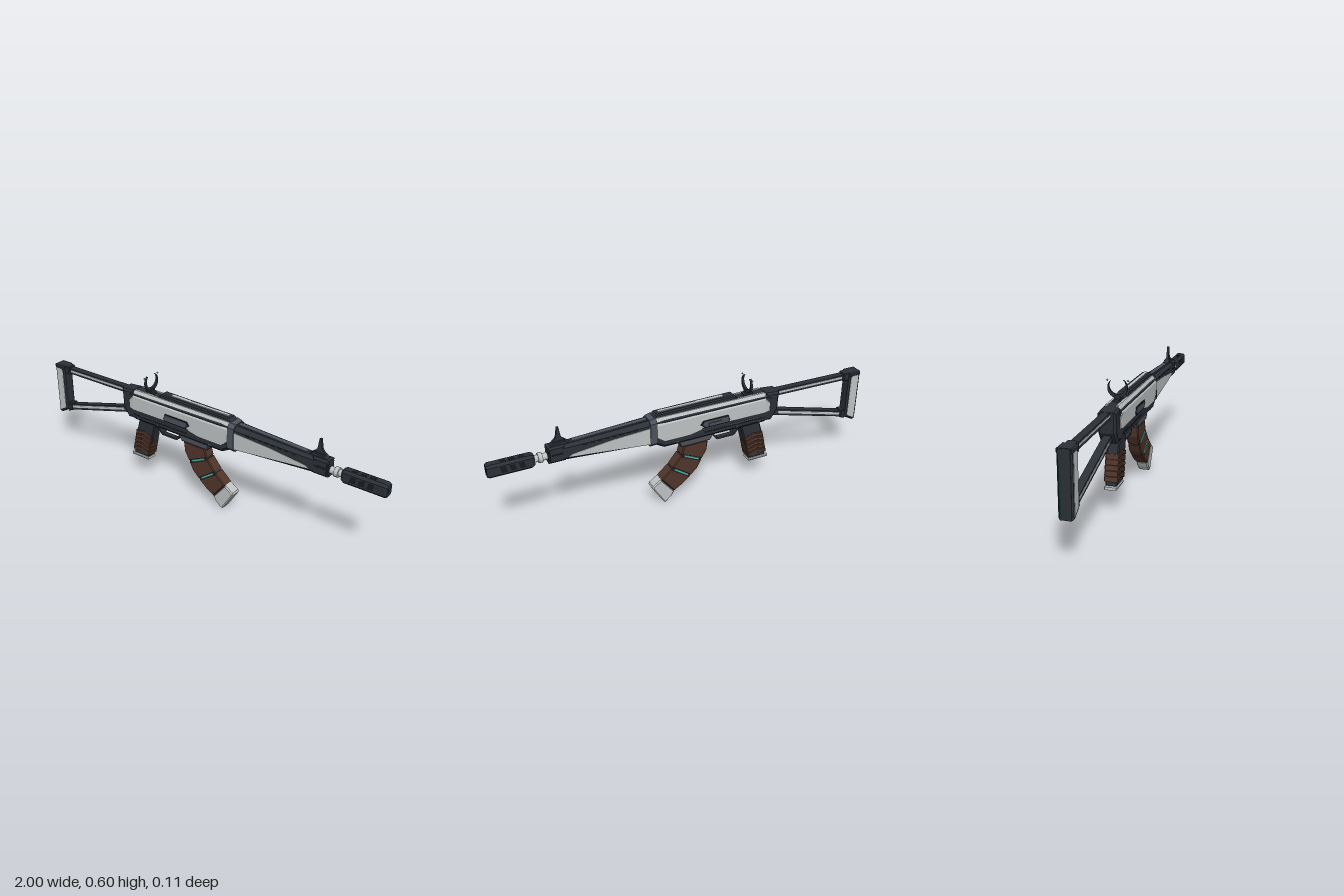
import * as THREE from 'three';

const flat = (name, color) => {
  const m = new THREE.MeshStandardMaterial({ color });
  m.name = name;
  return m;
};

export function createModel() {
  const root = new THREE.Group();
  root.name = 'rifleProp';
  const dark = flat('dark metal', 0x2c3037);
  const black = flat('black recess', 0x191b1f);
  const slate = flat('slate metal', 0x4b505b);
  const light = flat('pale alloy', 0xbfc3c4);
  const brown = flat('brown wrap', 0x50352a);
  const cyan = flat('cyan glow', 0x4cc8c0);
  const teal = flat('deep teal', 0x123230);

  const add = (name, geo, mat) => {
    const m = new THREE.Mesh(geo, mat);
    m.name = name;
    root.add(m);
    return m;
  };
  // Side outline extruded symmetrically to half width hw; taper scales z along x
  const slab = (name, pts, hw, mat, bevel = 0, taper = null) => {
    const shape = new THREE.Shape(pts.map(p => new THREE.Vector2(p[0], p[1])));
    const depth = 2 * (hw - bevel);
    const geo = new THREE.ExtrudeGeometry(shape, {
      depth, bevelEnabled: bevel > 0, bevelSize: bevel, bevelThickness: bevel, bevelOffset: -bevel, bevelSegments: 1,
    });
    geo.translate(0, 0, -depth / 2);
    if (taper) {
      const p = geo.attributes.position;
      for (let i = 0; i < p.count; i++) p.setZ(i, p.getZ(i) * taper(p.getX(i)));
      geo.computeVertexNormals();
    }
    return add(name, geo, mat);
  };
  const rect = (x0, x1, y0, y1) => [[x0, y0], [x1, y0], [x1, y1], [x0, y1]];
  // Chamfered cross-section, counter-clockwise as [y, z]
  const oct = (y0, y1, hw, c) => [[y1, -hw + c], [y1, hw - c], [y1 - c, hw], [y0 + c, hw],
    [y0, hw - c], [y0, -hw + c], [y0 + c, -hw], [y1 - c, -hw]].reverse();
  const ccw = ring => {
    let a = 0;
    ring.forEach((p, i) => { const q = ring[(i + 1) % ring.length]; a += p[0] * q[1] - q[0] * p[1]; });
    return a < 0 ? [...ring].reverse() : ring;
  };
  // Faceted skin through cross-sections [x, ring], ordered by rising x
  const loft = (name, sections, mat) => {
    const rings = sections.map(([x, r]) => ccw(r).map(([y, z]) => [x, y, z]));
    const n = rings[0].length, out = [];
    for (let s = 0; s + 1 < rings.length; s++) {
      const a = rings[s], b = rings[s + 1];
      for (let i = 0; i < n; i++) {
        const j = (i + 1) % n;
        out.push(...a[i], ...a[j], ...b[j], ...a[i], ...b[j], ...b[i]);
      }
    }
    const first = rings[0], last = rings[rings.length - 1];
    for (let i = 1; i + 1 < n; i++) {
      out.push(...last[0], ...last[i], ...last[i + 1], ...first[0], ...first[i + 1], ...first[i]);
    }
    const geo = new THREE.BufferGeometry();
    geo.setAttribute('position', new THREE.Float32BufferAttribute(out, 3));
    geo.computeVertexNormals();
    return add(name, geo, mat);
  };
  const bar = (name, x0, y0, x1, y1, h, w, mat) => {
    const m = add(name, new THREE.BoxGeometry(Math.hypot(x1 - x0, y1 - y0), h, w), mat);
    m.position.set((x0 + x1) / 2, (y0 + y1) / 2, 0);
    m.rotation.z = Math.atan2(y1 - y0, x1 - x0);
    return m;
  };

  // Stock: butt frame, pale panels and two struts
  slab('buttFrame', [[-1, 0.2], [-0.985, 0.197], [-0.932, 0.225], [-0.932, 0.475], [-0.945, 0.487], [-1, 0.488]], 0.032, dark, 0.008);
  slab('buttPanel', [[-0.988, 0.213], [-0.942, 0.238], [-0.942, 0.462], [-0.954, 0.474], [-0.988, 0.474]], 0.034, light);
  slab('buttTopCap', rect(-0.998, -0.93, 0.468, 0.49), 0.036, dark, 0.006);
  slab('buttPad', rect(-1, -0.994, 0.215, 0.475), 0.025, teal);
  bar('upperStrut', -0.94, 0.466, -0.46, 0.472, 0.03, 0.036, dark);
  bar('upperStrutStrip', -0.89, 0.469, -0.49, 0.474, 0.011, 0.04, light);
  bar('lowerStrut', -0.94, 0.237, -0.46, 0.367, 0.032, 0.036, dark);
  bar('lowerStrutStrip', -0.9, 0.25, -0.5, 0.358, 0.013, 0.04, light);
  slab('upperStrutCollar', rect(-0.935, -0.9, 0.446, 0.49), 0.025, dark, 0.005);
  slab('lowerStrutCollar', [[-0.935, 0.215], [-0.905, 0.226], [-0.905, 0.27], [-0.935, 0.265]], 0.025, dark, 0.005);

  // Receiver
  slab('rearBlock', [[-0.49, 0.488], [-0.415, 0.495], [-0.4, 0.34], [-0.45, 0.335], [-0.475, 0.375], [-0.485, 0.39]], 0.042, dark, 0.01);
  loft('receiverBody', [[-0.45, oct(0.34, 0.48, 0.042, 0.018)], [-0.41, oct(0.33, 0.495, 0.046, 0.018)],
    [0.15, oct(0.33, 0.497, 0.046, 0.018)], [0.205, oct(0.36, 0.497, 0.044, 0.018)]], dark);
  for (const s of [1, -1]) {
    const ring = (y0, y1, k) => [[y0, 0.02], [y1, 0.02], [y1, 0.031 * k], [y1 - 0.033, 0.05 * k], [y0, 0.05 * k]].map(([y, z]) => [y, z * s]);
    loft('receiverCover', [[-0.43, ring(0.4, 0.475, 0.95)], [-0.405, ring(0.395, 0.499, 1)], [0.198, ring(0.4, 0.5, 1)]], light);
  }
  slab('coverLowerPanel', [[-0.06, 0.41], [-0.04, 0.388], [0.02, 0.376], [0.155, 0.376], [0.195, 0.405]], 0.05, light);
  slab('sidePort', [[-0.2, 0.405], [-0.19, 0.395], [-0.06, 0.395], [-0.035, 0.415], [-0.05, 0.435], [-0.19, 0.435]], 0.053, black);
  slab('sidePortPlate', [[-0.193, 0.408], [-0.187, 0.4], [-0.064, 0.4], [-0.045, 0.416], [-0.055, 0.43], [-0.187, 0.43]], 0.055, slate);
  slab('lowerGroove', rect(-0.41, -0.06, 0.362, 0.369), 0.047, black);
  slab('lowerStrip', rect(-0.37, -0.2, 0.372, 0.378), 0.048, slate);
  for (const x of [-0.38, -0.25, 0.08]) slab('receiverPin', rect(x, x + 0.014, 0.346, 0.358), 0.048, slate);
  slab('topRail', [[-0.26, 0.495], [-0.235, 0.52], [0.185, 0.517], [0.205, 0.495]], 0.026, dark, 0.006);
  slab('topRailStrip', rect(-0.18, 0.17, 0.51, 0.522), 0.009, light);
  const handle = add('chargingHandle', new THREE.BoxGeometry(0.07, 0.018, 0.014), slate);
  handle.position.set(-0.115, 0.41, -0.053);
  loft('collar', [[0.193, oct(0.358, 0.503, 0.052, 0.018)], [0.226, oct(0.352, 0.497, 0.046, 0.018)]], slate);

  // Handguard, tapering toward the muzzle
  loft('handguard', [[0.22, oct(0.36, 0.492, 0.042, 0.02)], [0.62, oct(0.391, 0.474, 0.032, 0.014)],
    [0.72, oct(0.396, 0.471, 0.027, 0.012)]], dark);
  const taper = x => 1 - 0.62 * (x - 0.22);
  slab('handguardPanel', [[0.228, 0.373], [0.5, 0.397], [0.63, 0.411], [0.61, 0.422], [0.42, 0.447], [0.228, 0.461]], 0.045, light, 0, taper);
  bar('handguardTopStrip', 0.23, 0.4925, 0.6, 0.4755, 0.006, 0.026, slate);
  for (let i = 0; i < 8; i++) {
    const x = 0.29 + i * 0.035, y = 0.468 - i * 0.0016;
    slab('ventSlot', rect(x, x + 0.02, y - 0.004, y + 0.002), 0.0435, black, 0, taper);
  }
  slab('frontBand', rect(0.64, 0.722, 0.392, 0.476), 0.03, dark, 0.009);
  slab('frontBandSlot', rect(0.652, 0.705, 0.43, 0.44), 0.031, black);

  // Front sight
  slab('frontSightBase', [[0.61, 0.472], [0.635, 0.492], [0.69, 0.49], [0.71, 0.472]], 0.016, dark, 0.004);
  slab('frontSightPost', [[0.63, 0.485], [0.65, 0.51], [0.657, 0.56], [0.665, 0.56], [0.675, 0.51], [0.698, 0.485]], 0.006, dark);

  // Barrel and muzzle device
  const tube = (name, x0, x1, r, mat) => {
    const m = add(name, new THREE.CylinderGeometry(r, r, x1 - x0, 12), mat);
    m.rotation.z = -Math.PI / 2;
    m.position.set((x0 + x1) / 2, 0.424, 0);
  };
  tube('barrel', 0.71, 0.8, 0.017, light);
  tube('barrelRing', 0.745, 0.765, 0.024, light);
  loft('muzzle', [[0.783, oct(0.398, 0.45, 0.021, 0.009)], [0.795, oct(0.391, 0.457, 0.027, 0.011)],
    [0.99, oct(0.391, 0.457, 0.027, 0.011)], [1, oct(0.396, 0.452, 0.022, 0.009)]], dark);
  for (let i = 0; i < 3; i++) {
    const x = 0.825 + i * 0.042;
    slab('muzzleSlot', [[x, 0.411], [x + 0.026, 0.411], [x + 0.032, 0.438], [x + 0.006, 0.438]], 0.028, black);
    slab('muzzleTopSlot', rect(x, x + 0.028, 0.45, 0.458), 0.01, black);
  }
  tube('bore', 0.99, 1.001, 0.012, teal);

  // Rear crescent sight with glowing tips
  slab('sightBase', rect(-0.345, -0.295, 0.49, 0.506), 0.018, dark, 0.003);
  slab('sightStem', rect(-0.33, -0.308, 0.5, 0.518), 0.014, dark);
  const crescent = new THREE.Shape();
  crescent.absarc(0, 0.556, 0.047, 0.93, Math.PI - 0.93, true);
  crescent.absarc(0, 0.566, 0.0397, Math.PI - 0.78, 0.78, false);
  const ringGeo = new THREE.ExtrudeGeometry(crescent, { depth: 0.012, bevelEnabled: false, curveSegments: 20 });
  ringGeo.translate(0, 0, -0.006).rotateY(Math.PI / 2);
  add('crescentSight', ringGeo, dark).position.x = -0.319;
  for (const s of [1, -1]) {
    const gem = add('sightGem', new THREE.OctahedronGeometry(0.006), cyan);
    gem.position.set(-0.319, 0.59, s * 0.049);
  }

  // Grip with slanted wrap bands
  slab('gripCore', [[-0.385, 0.34], [-0.275, 0.34], [-0.285, 0.3], [-0.335, 0.125], [-0.43, 0.125], [-0.405, 0.27]], 0.029, dark, 0.006);
  for (let i = 0; i < 5; i++) {
    const y = 0.145 + i * 0.0255, x = -0.434 + i * 0.0057;
    slab('gripWrap', [[x, y], [x + 0.052, y + 0.008], [x + 0.106, y - 0.01], [x + 0.112, y + 0.013], [x + 0.057, y + 0.031], [x + 0.005, y + 0.023]], 0.034, brown, 0.004);
  }
  slab('gripBase', rect(-0.446, -0.333, 0.11, 0.124), 0.031, light, 0.004);

  // Trigger and guard
  const guard = [[-0.285, 0.335], [-0.245, 0.288], [-0.15, 0.288], [-0.125, 0.318], [-0.1, 0.33]];
  for (let i = 0; i + 1 < guard.length; i++) bar('triggerGuard', ...guard[i], ...guard[i + 1], 0.009, 0.026, dark);
  slab('trigger', [[-0.25, 0.335], [-0.23, 0.335], [-0.232, 0.3], [-0.242, 0.298]], 0.006, slate);

  // Curved magazine: three brown segments between outline points, dark joints, cyan stripes
  slab('magazineWell', [[-0.12, 0.34], [0.075, 0.34], [0.06, 0.305], [-0.1, 0.305]], 0.035, slate, 0.005);
  const rows = [[[-0.09, 0.31], [0.042, 0.31]], [[-0.055, 0.202], [0.058, 0.255]], [[0.008, 0.12], [0.11, 0.193]], [[0.103, 0.053], [0.172, 0.138]]];
  const mix = (a, b, t) => [a[0] + (b[0] - a[0]) * t, a[1] + (b[1] - a[1]) * t];
  const bow = [[-0.082, 0.25], [-0.03, 0.156], [0.053, 0.083]];
  for (let i = 0; i < 3; i++) {
    const [a, b] = [rows[i], rows[i + 1]];
    slab('magazineSegment', [mix(a[0], b[0], 0.03), bow[i], mix(a[0], b[0], 0.97), mix(a[1], b[1], 0.95), mix(a[1], b[1], 0.05)], 0.031, brown, 0.005);
    slab('magazineCore', [mix(a[0], a[1], 0.04), mix(b[0], b[1], 0.04), mix(b[0], b[1], 0.96), mix(a[1], a[0], 0.04)], 0.027, dark);
  }
  for (const r of [rows[1], rows[2]]) {
    const p = mix(r[0], r[1], 0.17), q = mix(r[0], r[1], 0.85);
    bar('magazineStripe', ...p, ...q, 0.009, 0.065, cyan);
  }
  slab('magazineCap', [[0.098, 0.053], [0.112, 0.03], [0.146, 0], [0.156, 0.002], [0.218, 0.1], [0.214, 0.112], [0.17, 0.142]], 0.03, light, 0.006);
  return root;
}
